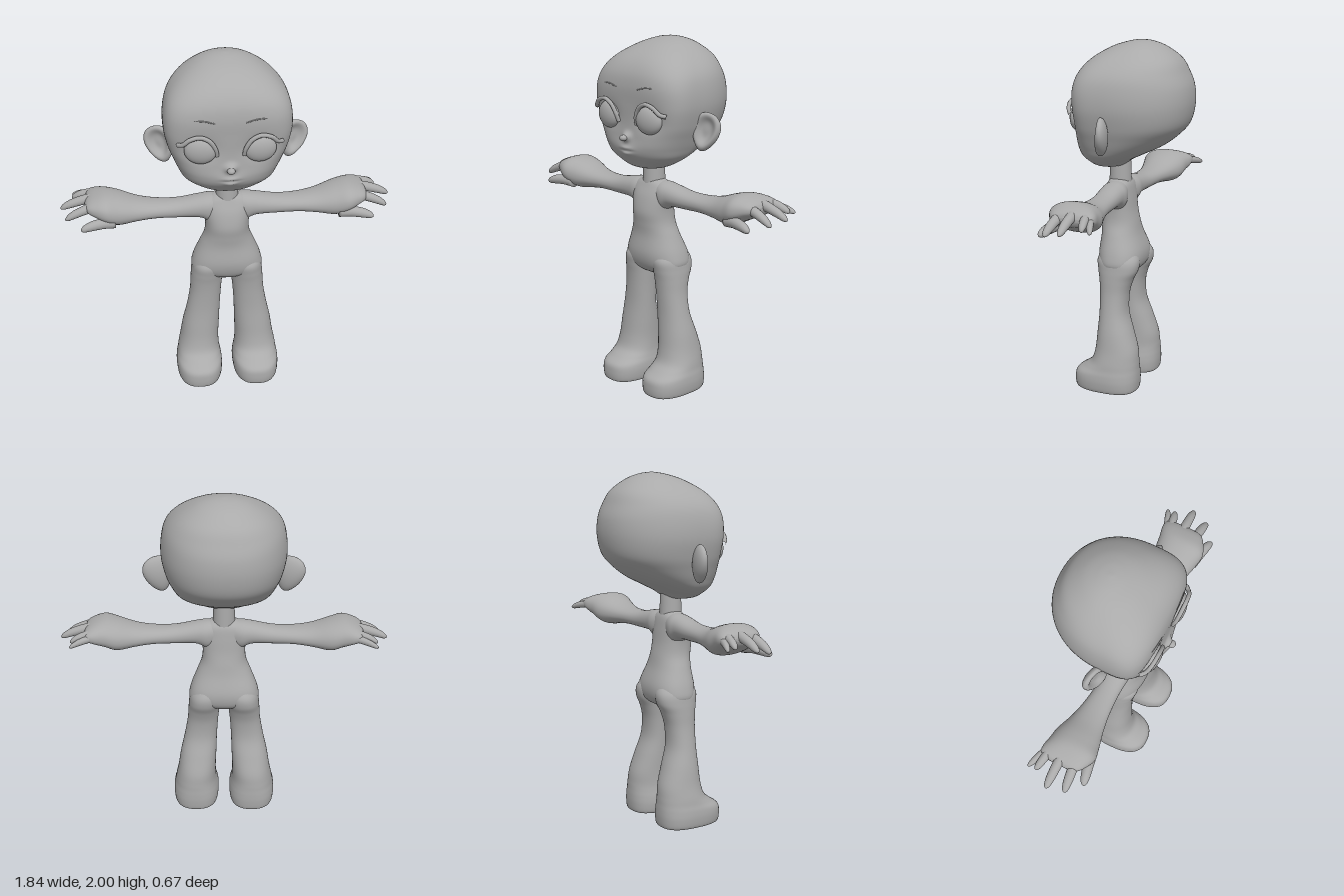
import * as THREE from 'three';

const skin = new THREE.MeshStandardMaterial({ color: 0xaaaaaa });
skin.name = 'clay grey';

// Smooth interpolation of whole rows of numbers
function blend(rows, i, f) {
  const at = k => rows[Math.min(rows.length - 1, Math.max(0, k))];
  const [a, b, c, d] = [at(i - 1), at(i), at(i + 1), at(i + 2)];
  return b.map((_, k) => {
    const m0 = (c[k] - a[k]) / 2, m1 = (d[k] - b[k]) / 2, f2 = f * f, f3 = f2 * f;
    return (2 * f3 - 3 * f2 + 1) * b[k] + (f3 - 2 * f2 + f) * m0
      + (3 * f2 - 2 * f3) * c[k] + (f3 - f2) * m1;
  });
}

// Loft of superellipse sections; row: [t, uCentre, uHalf, vCentre, vMax, vMin, nMax, nMin]
function loft(rows, place, sides = 40, steps = 6) {
  const rings = [];
  for (let i = 0; i < rows.length - 1; i++)
    for (let s = 0; s < steps; s++) rings.push(blend(rows, i, s / steps));
  rings.push(rows[rows.length - 1]);
  const pos = [], idx = [];
  for (const [t, uc, uh, vc, v1, v0, n1, n0] of rings)
    for (let j = 0; j < sides; j++) {
      const a = j / sides * Math.PI * 2, c = Math.cos(a), s = Math.sin(a);
      const n = s > 0 ? n1 : n0;
      const r = (Math.abs(c) ** n + Math.abs(s) ** n) ** (-1 / n);
      pos.push(...place(t, uc + uh * r * c, vc + (s > 0 ? v1 - vc : vc - v0) * r * s));
    }
  for (let i = 0; i < rings.length - 1; i++)
    for (let j = 0; j < sides; j++) {
      const a = i * sides + j, b = i * sides + (j + 1) % sides;
      idx.push(a, a + sides, b, b, a + sides, b + sides);
    }
  // end caps
  [0, rings.length - 1].forEach((k, end) => {
    const q = rings[k], m = pos.length / 3;
    pos.push(...place(q[0], q[1], q[3]));
    for (let j = 0; j < sides; j++) {
      const a = k * sides + j, b = k * sides + (j + 1) % sides;
      end ? idx.push(m, b, a) : idx.push(m, a, b);
    }
  });
  const g = new THREE.BufferGeometry();
  g.setAttribute('position', new THREE.Float32BufferAttribute(pos, 3));
  g.setIndex(idx);
  g.computeVertexNormals();
  return g;
}
const upright = (t, u, v) => [u, t, v];
const sideways = (t, u, v) => [t, v, u];

function reshape(g, rule) {
  const p = g.attributes.position, v = new THREE.Vector3();
  for (let i = 0; i < p.count; i++) {
    rule(v.fromBufferAttribute(p, i));
    p.setXYZ(i, v.x, v.y, v.z);
  }
  g.computeVertexNormals();
  return g;
}

function mirrored(g) {
  const m = g.clone().scale(-1, 1, 1), ix = m.index;
  for (let i = 0; i < ix.count; i += 3) {
    const b = ix.getX(i + 1);
    ix.setX(i + 1, ix.getX(i + 2));
    ix.setX(i + 2, b);
  }
  return m;
}

function headGeometry() {
  const g = loft([
    [1.285, 0, 0.03, 0.13, 0.17, 0.10, 2, 2],
    [1.30, 0, 0.12, 0.13, 0.215, 0.05, 2.2, 2],
    [1.33, 0, 0.19, 0.12, 0.245, 0.01, 2.3, 2],
    [1.37, 0, 0.245, 0.10, 0.275, -0.07, 2.5, 2],
    [1.42, 0, 0.275, 0.07, 0.288, -0.17, 2.8, 2],
    [1.48, 0, 0.30, 0.06, 0.285, -0.25, 3.2, 2.1],
    [1.55, 0, 0.325, 0.06, 0.282, -0.31, 3.6, 2.2],
    [1.65, 0, 0.345, 0.06, 0.285, -0.335, 3.8, 2.2],
    [1.75, 0, 0.34, 0.06, 0.287, -0.33, 3.6, 2.2],
    [1.83, 0, 0.312, 0.04, 0.268, -0.30, 3.2, 2.2],
    [1.90, 0, 0.25, 0.01, 0.215, -0.26, 2.8, 2.2],
    [1.96, 0, 0.16, -0.03, 0.12, -0.185, 2.4, 2],
    [1.99, 0, 0.08, -0.04, 0.03, -0.11, 2, 2],
    [2.0, 0, 0.008, -0.04, -0.03, -0.05, 2, 2]
  ], upright, 144, 8);
  // sockets, muzzle, nose and lips: [x, y, width, height, depth]
  const bumps = [
    [0.16, 1.58, 0.08, 0.06, -0.02], [-0.16, 1.58, 0.08, 0.06, -0.02],
    [0, 1.40, 0.07, 0.04, 0.012], [0, 1.475, 0.026, 0.022, 0.04],
    [0, 1.415, 0.035, 0.009, 0.009], [0, 1.382, 0.028, 0.01, 0.009],
    [0, 1.40, 0.045, 0.006, -0.008]
  ];
  return reshape(g, v => {
    if (v.z < 0.12) return;
    let d = 0;
    for (const [x, y, w, h, a] of bumps)
      d += a * Math.exp(-(((v.x - x) / w) ** 2) - ((v.y - y) / h) ** 2);
    v.z += d;
  });
}

// Tapered finger along x; from and to are [x, y, z]
function finger(from, to, r) {
  const rows = [[0, 1], [0.35, 0.95], [0.7, 0.85], [0.9, 0.62], [0.98, 0.3], [1, 0.03]].map(([f, k]) => {
    const [x, y, z] = from.map((a, i) => a + (to[i] - a) * f);
    const cy = y + 0.012 * Math.sin(f * Math.PI);
    return [x, z, r * k, cy, cy + r * k, cy - r * k, 2, 2];
  });
  return loft(rows, sideways, 16, 4);
}

function earGeometry() {
  const g = reshape(new THREE.SphereGeometry(1, 40, 40).rotateX(Math.PI / 2), v => {
    const r2 = (v.x / 0.62) ** 2 + ((v.y - 0.1) / 0.68) ** 2;
    if (v.z > 0) v.z -= 1.05 * Math.exp(-r2 * r2);
    v.x *= 1 + 0.28 * v.y;
  });
  return g.scale(0.078, 0.108, 0.042).rotateZ(-0.28).rotateY(0.3).translate(0.362, 1.518, 0.05);
}

const tube = (pts, r) => new THREE.TubeGeometry(
  new THREE.CatmullRomCurve3(pts.map(p => new THREE.Vector3(...p))), 32, r, 8);

export function createModel() {
  const model = new THREE.Group();
  model.name = 'figure';
  const add = (name, g) => {
    const m = new THREE.Mesh(g, skin);
    m.name = name;
    model.add(m);
  };
  const pair = (name, g) => {
    add('left' + name, g);
    add('right' + name, mirrored(g));
  };

  add('head', headGeometry());
  add('neck', new THREE.CylinderGeometry(0.058, 0.064, 0.2, 32).translate(0, 1.27, 0.085));

  // torso and hips
  add('torso', loft([
    [0.665, 0, 0.03, 0.06, 0.10, 0.02, 2, 2],
    [0.69, 0, 0.13, 0.06, 0.145, -0.03, 2.2, 2.2],
    [0.73, 0, 0.198, 0.06, 0.175, -0.06, 2.4, 2.6],
    [0.80, 0, 0.193, 0.06, 0.19, -0.065, 2.3, 2.5],
    [0.90, 0, 0.155, 0.07, 0.182, -0.035, 2.2, 2.2],
    [0.97, 0, 0.128, 0.08, 0.188, -0.02, 2.2, 2.2],
    [1.04, 0, 0.122, 0.08, 0.195, -0.005, 2.3, 2.3],
    [1.12, 0, 0.13, 0.085, 0.18, 0.005, 2.3, 2.3],
    [1.18, 0, 0.128, 0.085, 0.155, 0.015, 2.3, 2.3],
    [1.21, 0, 0.09, 0.085, 0.14, 0.03, 2, 2],
    [1.222, 0, 0.05, 0.085, 0.12, 0.05, 2, 2]
  ], upright, 48));

  // legs with feet
  pair('Leg', loft([
    [0.0, 0.168, 0.105, 0.08, 0.265, -0.07, 2.6, 2.6],
    [0.012, 0.168, 0.127, 0.08, 0.282, -0.086, 2.6, 2.6],
    [0.06, 0.168, 0.135, 0.08, 0.287, -0.092, 2.6, 2.5],
    [0.105, 0.168, 0.133, 0.08, 0.278, -0.092, 2.5, 2.4],
    [0.14, 0.168, 0.126, 0.07, 0.23, -0.09, 2.3, 2.3],
    [0.18, 0.168, 0.12, 0.06, 0.185, -0.088, 2.2, 2.2],
    [0.25, 0.162, 0.112, 0.05, 0.165, -0.08, 2.2, 2.2],
    [0.35, 0.152, 0.106, 0.055, 0.156, -0.048, 2.2, 2.2],
    [0.46, 0.138, 0.096, 0.065, 0.15, -0.013, 2.2, 2.2],
    [0.57, 0.125, 0.09, 0.065, 0.153, -0.013, 2.2, 2.2],
    [0.65, 0.118, 0.091, 0.06, 0.16, -0.035, 2.2, 2.2],
    [0.71, 0.113, 0.091, 0.055, 0.17, -0.063, 2.2, 2.3],
    [0.77, 0.105, 0.088, 0.055, 0.175, -0.066, 2.2, 2.2],
    [0.83, 0.09, 0.06, 0.06, 0.14, -0.03, 2, 2]
  ], upright));

  // arm widening into the palm
  pair('Arm', loft([
    [0.04, 0.08, 0.06, 1.14, 1.213, 1.05, 2.2, 2.2],
    [0.10, 0.08, 0.075, 1.14, 1.213, 1.05, 2.2, 2.2],
    [0.16, 0.08, 0.072, 1.14, 1.204, 1.078, 2.2, 2.2],
    [0.28, 0.075, 0.068, 1.13, 1.182, 1.082, 2.2, 2.2],
    [0.40, 0.07, 0.078, 1.13, 1.18, 1.084, 2.2, 2.2],
    [0.50, 0.065, 0.097, 1.13, 1.195, 1.075, 2.2, 2.2],
    [0.60, 0.06, 0.126, 1.14, 1.227, 1.062, 2.2, 2.3],
    [0.67, 0.062, 0.137, 1.16, 1.24, 1.09, 2.3, 2.5],
    [0.73, 0.045, 0.13, 1.17, 1.228, 1.12, 2.5, 2.5],
    [0.77, 0.035, 0.11, 1.175, 1.208, 1.14, 2.5, 2.5],
    [0.785, 0.035, 0.07, 1.175, 1.185, 1.165, 2, 2]
  ], sideways));
  [
    ['LittleFinger', [0.68, 1.17, -0.035], [0.86, 1.14, -0.108], 0.023],
    ['RingFinger', [0.71, 1.185, -0.03], [0.86, 1.15, -0.062], 0.026],
    ['MiddleFinger', [0.71, 1.195, 0.035], [0.922, 1.135, 0.03], 0.029],
    ['IndexFinger', [0.71, 1.18, 0.11], [0.895, 1.115, 0.125], 0.029],
    ['Thumb', [0.62, 1.10, 0.155], [0.81, 1.085, 0.195], 0.032]
  ].forEach(([name, from, to, r]) => pair(name, finger(from, to, r)));

  // face
  pair('Ear', earGeometry());
  pair('Eye', new THREE.SphereGeometry(1, 40, 24).scale(0.086, 0.075, 0.04)
    .rotateY(0.12).translate(0.158, 1.58, 0.272));
  pair('UpperLid', tube([
    [0.275, 1.612, 0.258], [0.25, 1.622, 0.282], [0.215, 1.655, 0.298], [0.16, 1.67, 0.304],
    [0.11, 1.645, 0.302], [0.08, 1.595, 0.294], [0.072, 1.55, 0.28]
  ], 0.012));
  pair('Eyebrow', tube([
    [0.08, 1.738, 0.285], [0.14, 1.752, 0.283], [0.20, 1.752, 0.272], [0.26, 1.742, 0.242]
  ], 0.004));
  add('noseTip', new THREE.SphereGeometry(1, 24, 16).scale(0.022, 0.017, 0.022).translate(0, 1.472, 0.313));
  return model;
}
